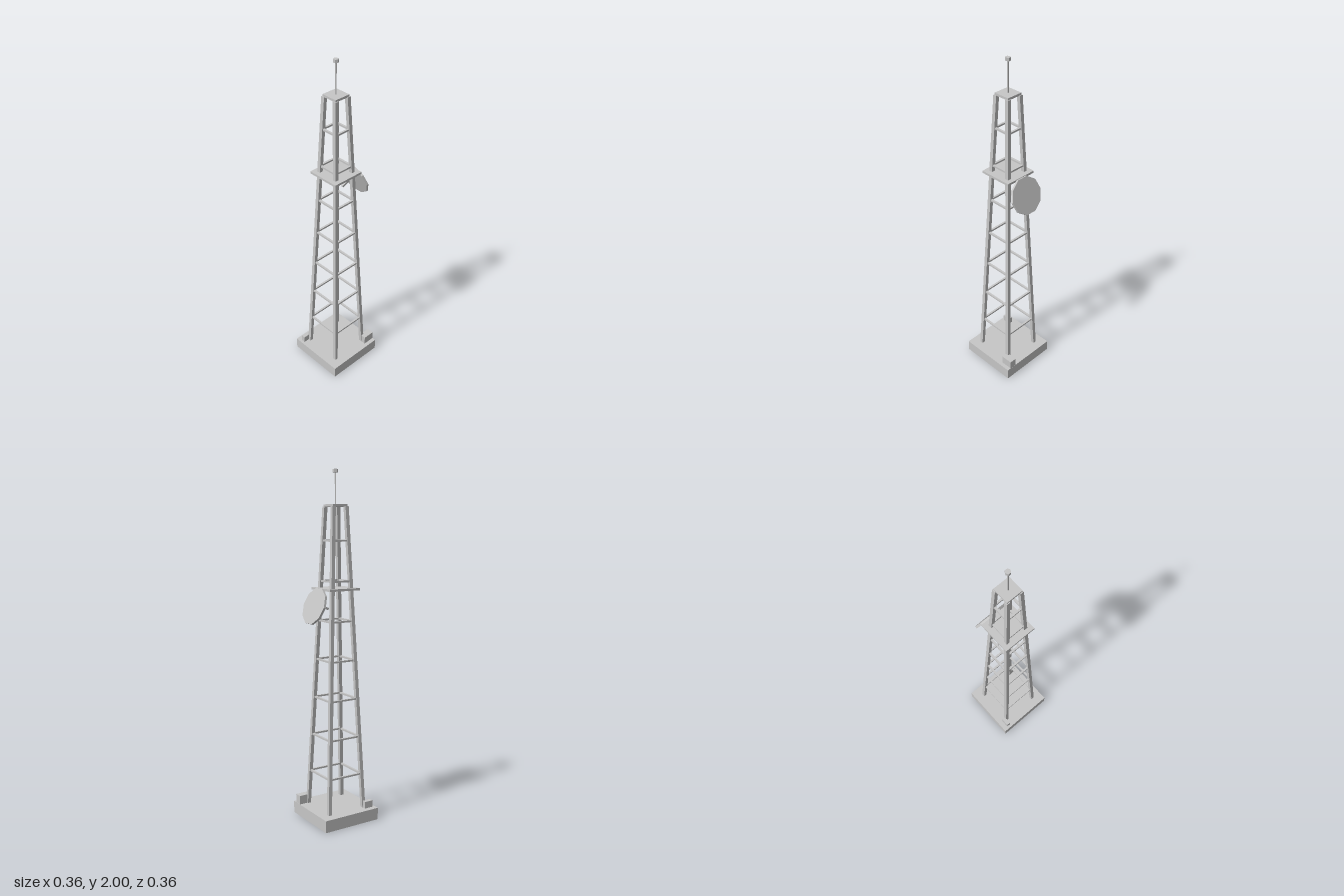
import * as THREE from 'three';

export function createModel() {
  const tower = new THREE.Group();
  tower.name = 'latticeTower';
  const grey = new THREE.MeshStandardMaterial({ color: 0xc6c6c6, flatShading: true });
  grey.name = 'light grey';

  const add = (name, geometry, x = 0, y = 0, z = 0) => {
    const mesh = new THREE.Mesh(geometry, grey);
    mesh.name = name;
    mesh.position.set(x, y, z);
    tower.add(mesh);
    return mesh;
  };
  // Box given by its limits along each axis
  const block = (name, [x0, x1], [y0, y1], [z0, z1]) =>
    add(name, new THREE.BoxGeometry(x1 - x0, y1 - y0, z1 - z0),
      (x0 + x1) / 2, (y0 + y1) / 2, (z0 + z1) / 2);

  // Distance of a leg's centre line from the axis at height y
  const baseY = 0.07, topY = 1.8;
  const spread = y => THREE.MathUtils.mapLinear(y, baseY, topY, 0.116, 0.042);

  // Foundation and equipment boxes
  block('foundation', [-0.179, 0.179], [0, baseY], [-0.179, 0.179]);
  block('largeCabinet', [0.107, 0.178], [baseY, 0.122], [0.112, 0.155]);
  block('smallCabinet', [-0.162, -0.11], [baseY, 0.11], [-0.148, -0.122]);

  // Four leaning legs: boxes sheared toward the axis
  for (const sx of [-1, 1]) for (const sz of [-1, 1]) {
    const leg = new THREE.BoxGeometry(0.021, topY - baseY, 0.021);
    leg.translate(0, (topY + baseY) / 2, 0);
    const p = leg.attributes.position;
    for (let i = 0; i < p.count; i++) {
      const s = spread(p.getY(i));
      p.setXYZ(i, p.getX(i) + sx * s, p.getY(i), p.getZ(i) + sz * s);
    }
    leg.computeVertexNormals();
    add('leg', leg);
  }

  // Square rings of cross bars
  for (let i = 0; i < 7; i++) {
    const y = 0.274 + i * 0.2232, s = spread(y);
    for (const side of [-1, 1]) {
      add('crossBar', new THREE.BoxGeometry(2 * s, 0.01, 0.012), 0, y, side * s);
      add('crossBar', new THREE.BoxGeometry(0.012, 0.01, 2 * s), side * s, y, 0);
    }
  }

  // Platform and top plate
  block('platform', [-0.098, 0.098], [1.34, 1.353], [-0.098, 0.098]);
  block('topPlate', [-0.048, 0.048], [1.798, 1.811], [-0.048, 0.048]);

  // Mast with hexagonal tip
  add('mast', new THREE.CylinderGeometry(0.004, 0.004, 0.18, 6), 0, 1.9, 0);
  add('mastTip', new THREE.CylinderGeometry(0.015, 0.015, 0.018, 6), 0, 1.991, 0);

  // Ten-sided dish on an arm, tilted upward
  const tilt = THREE.MathUtils.degToRad(-70);
  const dish = add('dish', new THREE.CylinderGeometry(0.107, 0.107, 0.013, 10), 0.138, 1.256, 0);
  dish.rotation.z = tilt;
  const arm = add('dishArm', new THREE.BoxGeometry(0.012, 0.088, 0.012), 0.09, 1.251, 0);
  arm.rotation.z = tilt;

  return tower;
}
